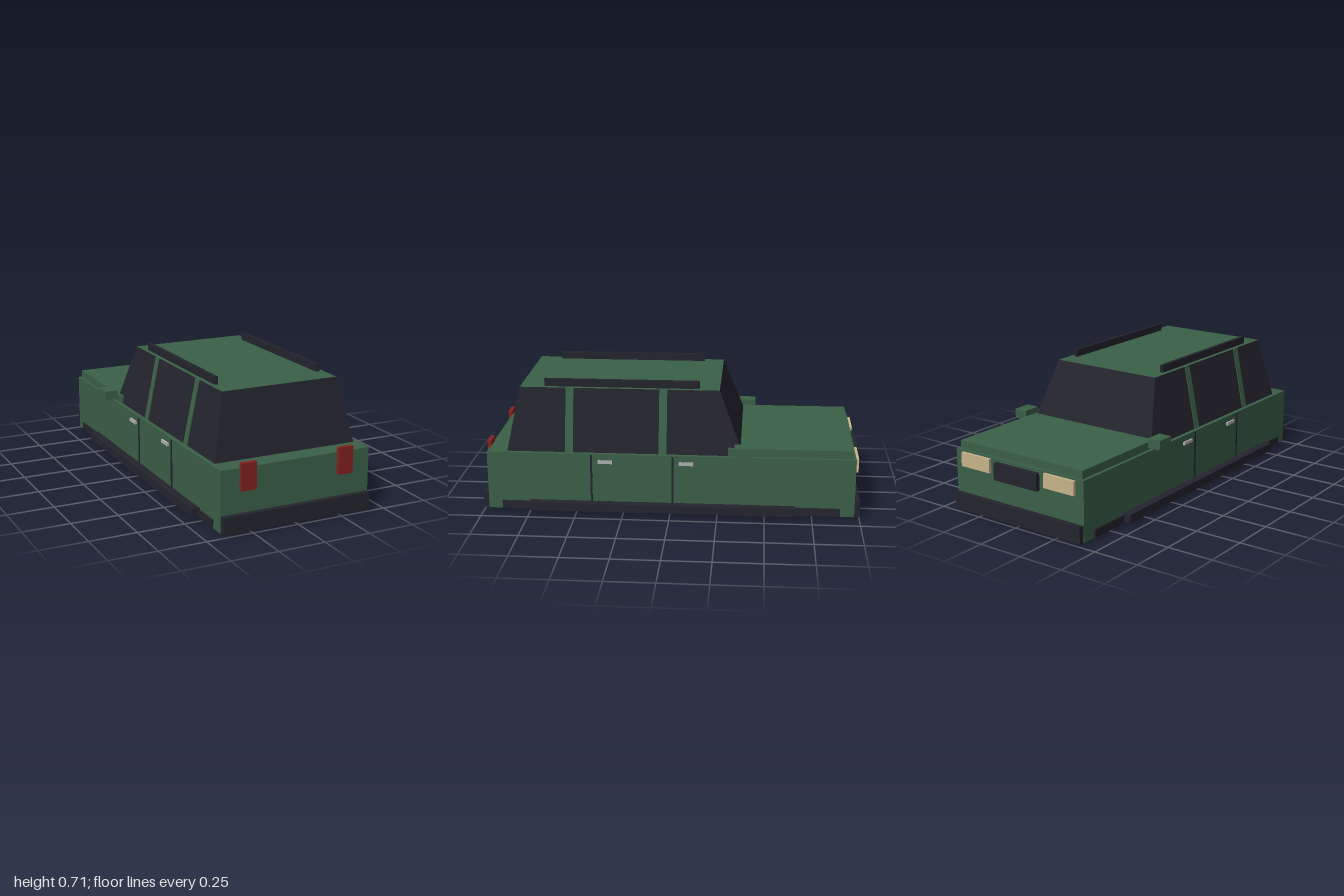
import * as THREE from 'three';

const paint = (name, color) => {
  const m = new THREE.MeshStandardMaterial({ color });
  m.name = name;
  return m;
};

export function createModel() {
  const green = paint('greenPaint', 0x3b6047);
  const dark = paint('darkTrim', 0x24242e);
  const red = paint('tailRed', 0x852222);
  const beige = paint('lampBeige', 0xc8b48a);
  const silver = paint('handleSilver', 0xb0b0b2);

  const car = new THREE.Group();
  car.name = 'car';
  const add = (name, geometry, material) => {
    const mesh = new THREE.Mesh(geometry, material);
    mesh.name = name;
    car.add(mesh);
    return mesh;
  };
  // Box given by its limits on each axis
  const box = (name, mat, [x0, x1], [y0, y1], [z0, z1]) =>
    add(name, new THREE.BoxGeometry(x1 - x0, y1 - y0, z1 - z0), mat)
      .position.set((x0 + x1) / 2, (y0 + y1) / 2, (z0 + z1) / 2);
  // The same box on both sides of the car
  const pair = (name, mat, [x0, x1], y, z) => {
    box(name + 'Left', mat, [x0, x1], y, z);
    box(name + 'Right', mat, [-x1, -x0], y, z);
  };

  // Lower body, bonnet and bumpers; the bonnet end is at -z
  box('body', green, [-0.415, 0.415], [0.017, 0.333], [-0.972, 0.972]);
  box('bonnet', green, [-0.398, 0.398], [0.333, 0.376], [-0.957, -0.305]);
  box('bonnetBumper', dark, [-0.41, 0.41], [0.017, 0.104], [-1, -0.97]);
  box('tailBumper', dark, [-0.41, 0.41], [0.017, 0.104], [0.97, 1]);

  // Glass cabin: a box tapered towards the roof; its top face is painted
  const Y0 = 0.333, Y1 = 0.667, X0 = 0.392, X1 = 0.322;
  const cabin = new THREE.BoxGeometry(2, 2, 2);
  const p = cabin.attributes.position;
  for (let i = 0; i < p.count; i++) {
    const top = p.getY(i) > 0;
    const back = p.getZ(i) > 0;
    p.setXYZ(i, Math.sign(p.getX(i)) * (top ? X1 : X0), top ? Y1 : Y0,
      back ? (top ? 0.8 : 0.866) : (top ? -0.255 : -0.386));
  }
  cabin.computeVertexNormals();
  add('cabin', cabin, [dark, dark, green, dark, dark, dark]);

  // Door pillars: thin plates leaning with the side glass
  const lean = Math.atan2(X0 - X1, Y1 - Y0);
  const length = Math.hypot(X0 - X1, Y1 - Y0);
  for (const side of [1, -1]) {
    for (const z of [0.04, 0.535]) {
      const pillar = add('doorPillar', new THREE.BoxGeometry(0.008, length, 0.042), green);
      pillar.position.set(side * (X0 + X1) / 2, (Y0 + Y1) / 2, z);
      pillar.rotation.z = side * lean;
    }
  }

  // Roof rails and mirrors
  pair('roofRail', dark, [0.28, 0.299], [0.665, 0.707], [-0.148, 0.672]);
  pair('mirror', green, [0.409, 0.483], [0.352, 0.403], [-0.44, -0.338]);

  // Sills and running boards
  pair('sill', dark, [0.41, 0.424], [0.02, 0.062], [-0.897, 0.897]);
  pair('runningBoard', dark, [0.41, 0.46], [0.026, 0.07], [-0.66, 0.747]);

  // Door seams and handles
  for (const z of [0.416, -0.014]) {
    pair('doorSeam', dark, [0.411, 0.42], [0.07, 0.328], [z - 0.005, z + 0.005]);
  }
  for (const z of [0.342, -0.086]) {
    pair('doorHandle', silver, [0.411, 0.426], [0.283, 0.3], [z - 0.038, z + 0.038]);
  }

  // Lamps and grille
  pair('tailLamp', red, [0.229, 0.312], [0.219, 0.36], [0.968, 0.99]);
  pair('headlamp', beige, [0.177, 0.367], [0.25, 0.325], [-0.988, -0.968]);
  box('grille', dark, [-0.14, 0.14], [0.225, 0.316], [-0.996, -0.968]);

  // Shallow round bulge under the floor
  const R = 0.17;
  const bulge = new THREE.CylinderGeometry(R, R, 0.44, 32, 1, false, -0.5, 1);
  bulge.rotateZ(Math.PI / 2);
  // turn the arc so that its middle points straight down
  bulge.computeBoundingBox();
  const b = bulge.boundingBox;
  const mid = Math.atan2((b.min.y + b.max.y) / 2, (b.min.z + b.max.z) / 2);
  bulge.rotateX(mid + Math.PI / 2);
  add('underfloorBulge', bulge, dark).position.y = R + 0.002;

  return car;
}
